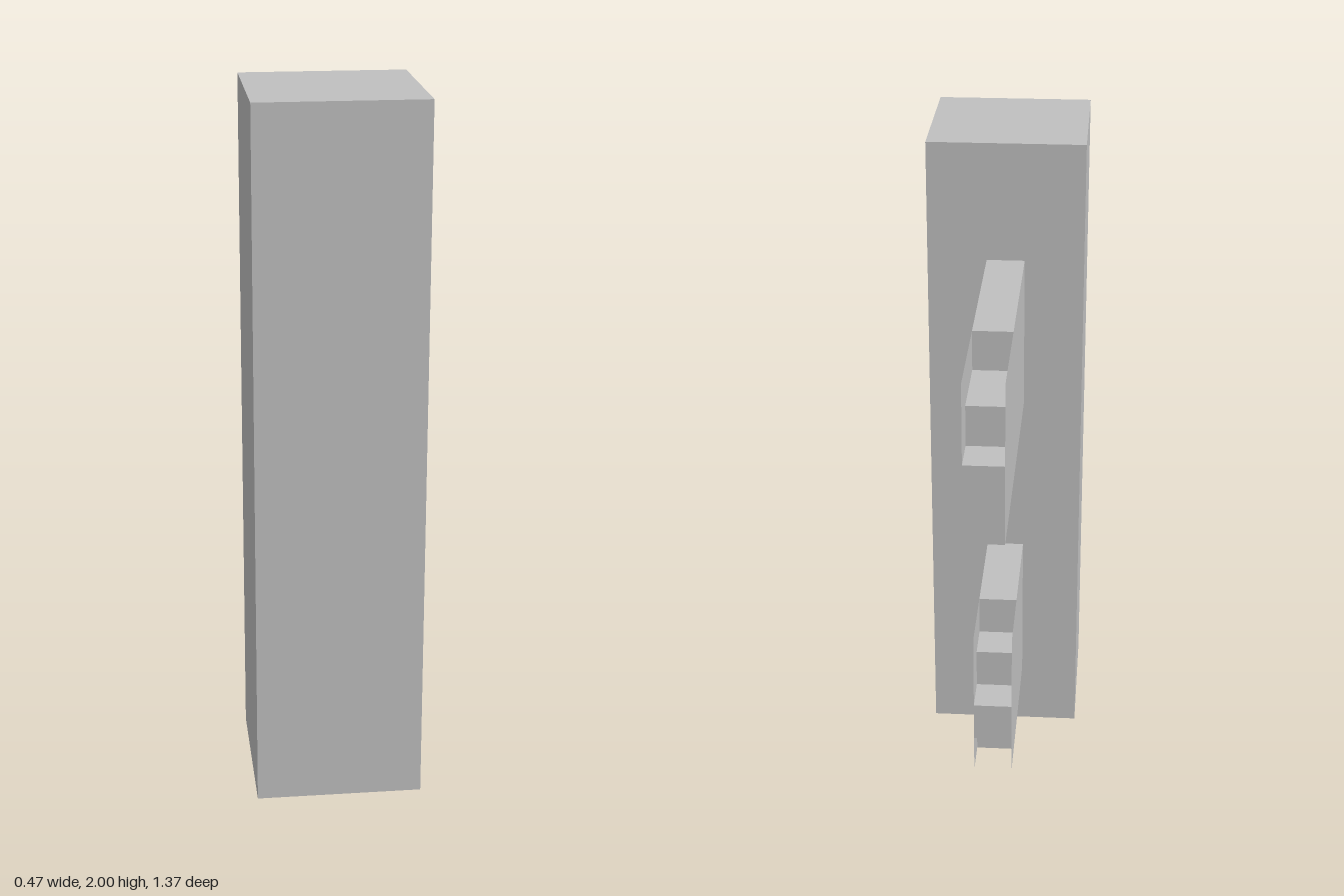
import * as THREE from 'three';

const HALF_POST = 0.235, HALF_ARM = 0.057, BACK = 0.214, FRONT = 0.685;

// Folded sheet: a (z, y) polyline swept across the arm width
function foldedSheet(points) {
  const w = HALF_ARM, pos = [];
  for (let i = 0; i < points.length - 1; i++) {
    const [z0, y0] = points[i], [z1, y1] = points[i + 1];
    pos.push(-w, y0, z0, w, y0, z0, w, y1, z1);
    pos.push(-w, y0, z0, w, y1, z1, -w, y1, z1);
  }
  const geo = new THREE.BufferGeometry();
  geo.setAttribute('position', new THREE.Float32BufferAttribute(pos, 3));
  geo.computeVertexNormals();
  return geo;
}

export function createModel() {
  const root = new THREE.Group();
  root.name = 'postWithArms';
  const grey = new THREE.MeshStandardMaterial({ color: 0xc0c0c0, side: THREE.DoubleSide });
  grey.name = 'grey';

  const add = (parent, name, geo) => {
    const mesh = new THREE.Mesh(geo, grey);
    mesh.name = name;
    parent.add(mesh);
    return mesh;
  };

  // Hollow post, open at the bottom
  const postGeo = new THREE.BoxGeometry(2 * HALF_POST, 2, FRONT - BACK);
  const index = Array.from(postGeo.index.array);
  index.splice(18, 6); // drop the underside
  postGeo.setIndex(index);
  postGeo.clearGroups();
  add(root, 'post', postGeo).position.set(0, 1, (FRONT + BACK) / 2);

  // Arm: two full side plates with a stepped sheet between them, open below
  const addArm = (name, bottom, top, end, profile) => {
    const arm = new THREE.Group();
    arm.name = name;
    for (const s of [1, -1]) {
      const plate = new THREE.PlaneGeometry(BACK - end, top - bottom);
      plate.rotateY(s * Math.PI / 2);
      add(arm, s > 0 ? 'leftPlate' : 'rightPlate', plate)
        .position.set(s * HALF_ARM, (top + bottom) / 2, (BACK + end) / 2);
    }
    add(arm, 'steppedCore', foldedSheet(profile));
    root.add(arm);
  };

  // Long arm: steps down to a closed end
  addArm('upperArm', 1.17, 1.64, -0.685, [
    [BACK, 1.64], [-0.334, 1.64], [-0.334, 1.523], [-0.568, 1.523],
    [-0.568, 1.405], [-0.685, 1.405], [-0.685, 1.17],
  ]);

  // Short arm: steps down to a tongue that is undercut
  addArm('lowerArm', 0.2, 0.67, -0.371, [
    [BACK, 0.67], [-0.138, 0.67], [-0.138, 0.553], [-0.255, 0.553],
    [-0.255, 0.436], [-0.371, 0.436], [-0.371, 0.318], [-0.255, 0.318], [-0.255, 0.2],
  ]);

  return root;
}
